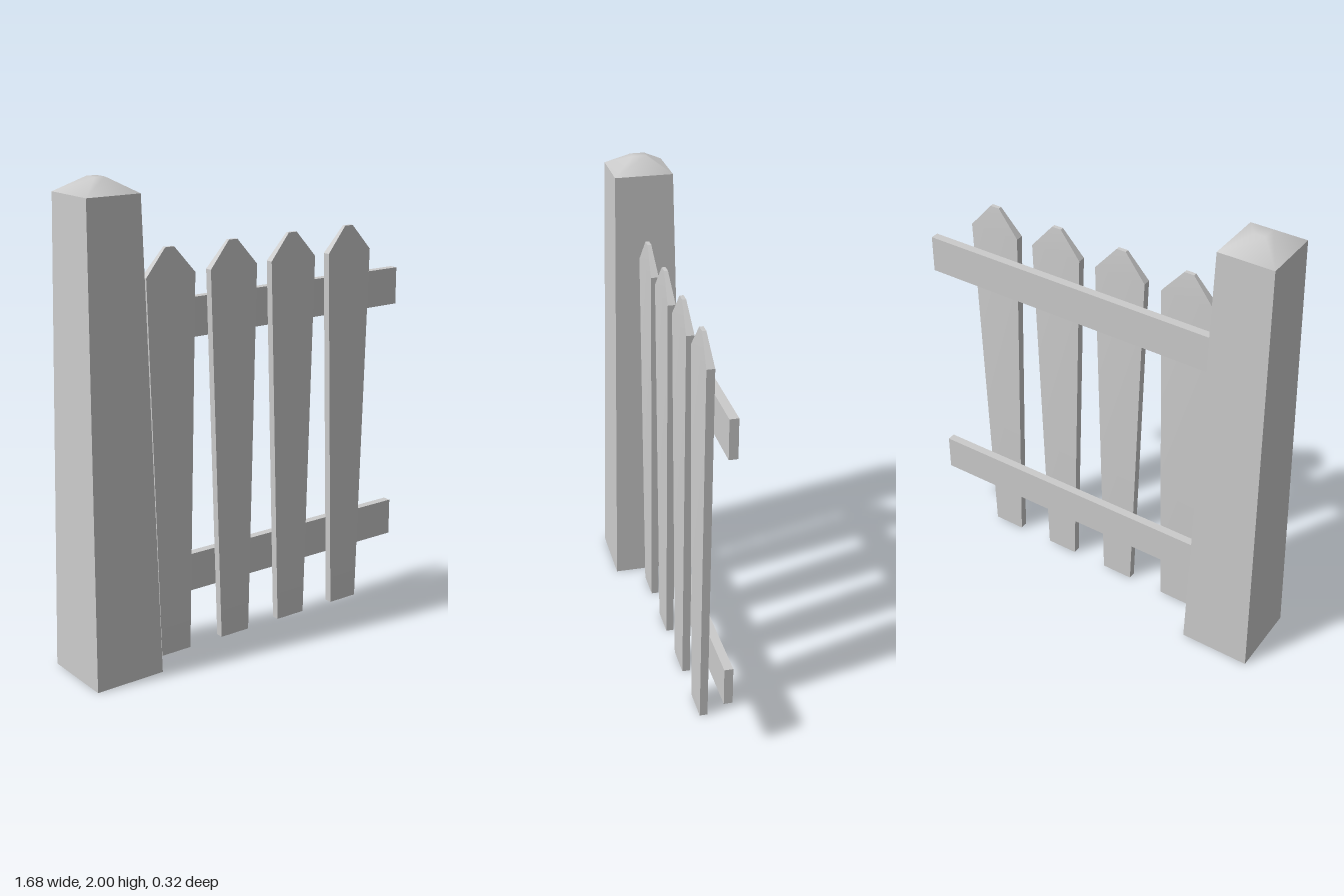
import * as THREE from 'three';
import { toCreasedNormals } from 'three/addons/utils/BufferGeometryUtils.js';

const material = new THREE.MeshStandardMaterial({ color: 0xcccccc });

// Closed solid through rectangular rings [y, halfWidth, zBack, zFront], bottom to top
function loftRings(rings, crease) {
  const points = [];
  const index = [];
  for (const [y, w, back, front] of rings) {
    points.push(-w, y, front, w, y, front, w, y, back, -w, y, back);
  }
  for (let r = 0; r < rings.length - 1; r++) {
    for (let i = 0; i < 4; i++) {
      const a = r * 4 + i;
      const b = r * 4 + ((i + 1) % 4);
      index.push(a, b, b + 4, a, b + 4, a + 4);
    }
  }
  const t = (rings.length - 1) * 4;
  index.push(0, 2, 1, 0, 3, 2, t, t + 1, t + 2, t, t + 2, t + 3);
  const geometry = new THREE.BufferGeometry();
  geometry.setAttribute('position', new THREE.Float32BufferAttribute(points, 3));
  geometry.setIndex(index);
  return toCreasedNormals(geometry, crease);
}

function addPart(group, name, geometry, x, y = 0, z = 0) {
  const mesh = new THREE.Mesh(geometry, material);
  mesh.name = name;
  mesh.position.set(x, y, z);
  group.add(mesh);
}

export function createModel() {
  const group = new THREE.Group();
  group.name = 'fence';

  // Tapered gate post with a softly shaded blunt pyramid cap
  const post = loftRings([
    [0, 0.153, -0.162, 0.162],
    [1.94, 0.117, -0.125, 0.125],
    [2, 0.022, -0.03, 0.03],
  ], THREE.MathUtils.degToRad(50));
  addPart(group, 'post', post, -0.687);

  // Horizontal rails, sunk a little into the post
  const rail = new THREE.BoxGeometry(1.4, 0.163, 0.036);
  addPart(group, 'lowerRail', rail, 0.138, 0.32, -0.013);
  addPart(group, 'upperRail', rail, 0.138, 1.411, -0.013);

  // Pickets widen upward, then narrow and thin to a blunt point
  const picket = loftRings([
    [0, 0.071, 0.007, 0.04],
    [1.6, 0.115, 0.007, 0.04],
    [1.71, 0.021, 0.017, 0.033],
  ], 0.1);
  for (let i = 0; i < 4; i++) {
    addPart(group, `picket${i + 1}`, picket, -0.384 + i * 0.305);
  }

  return group;
}
